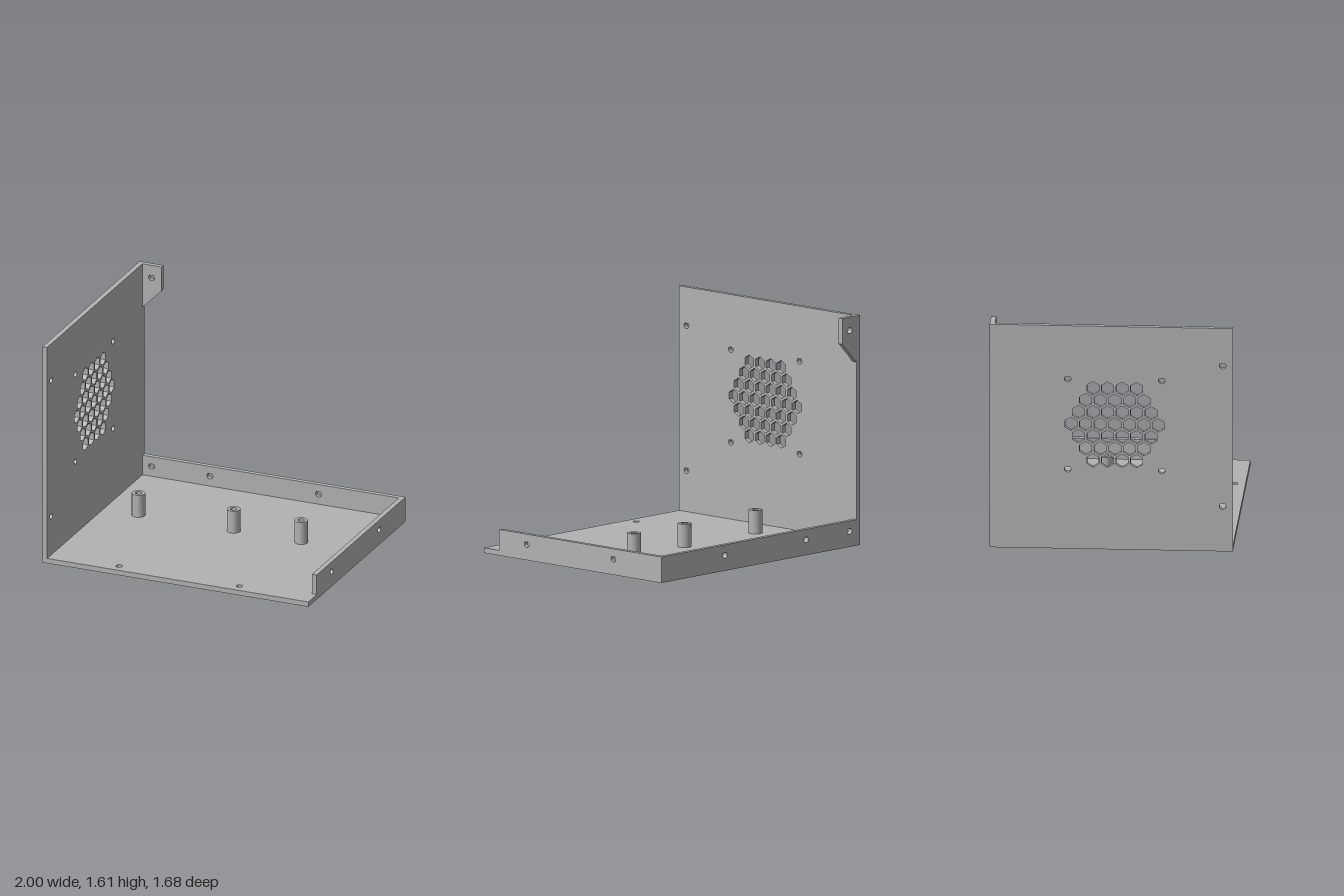
import * as THREE from 'three';
import { toCreasedNormals } from 'three/addons/utils/BufferGeometryUtils.js';

const T = 0.036;                       // sheet thickness
const X = 1, Z = 0.84, H = 1.61, LIP = 0.182, R = 0.0225;

const grey = new THREE.MeshStandardMaterial({ color: 0xb2b2b2 });
grey.name = 'plain grey';

const outline = (pts) => new THREE.Shape(pts.map(([a, b]) => new THREE.Vector2(a, b)));
const rect = (a0, b0, a1, b1) => outline([[a0, b0], [a1, b0], [a1, b1], [a0, b1]]);

function roundHole(a, b) {
  const p = new THREE.Path();
  p.absarc(a, b, R, 0, Math.PI * 2, true);
  return p;
}

// Round hole with a 45 degree peak on top
function teardropHole(a, b) {
  const p = new THREE.Path();
  p.moveTo(a, b + R * Math.SQRT2);
  p.absarc(a, b, R, Math.PI / 4, Math.PI * 3 / 4, true);
  p.closePath();
  return p;
}

function hexHole(a, b, r) {
  const pts = [];
  for (let i = 0; i < 6; i++) {
    const t = Math.PI / 6 + i * Math.PI / 3;
    pts.push(new THREE.Vector2(a + r * Math.cos(t), b + r * Math.sin(t)));
  }
  return new THREE.Path(pts);
}

function plate(name, shape, holes) {
  shape.holes.push(...holes);
  const g = new THREE.ExtrudeGeometry(shape, { depth: T, bevelEnabled: false, curveSegments: 16 });
  const mesh = new THREE.Mesh(toCreasedNormals(g, 0.6), grey);
  mesh.name = name;
  return mesh;
}

export function createModel() {
  const model = new THREE.Group();
  model.name = 'ventedCasePanel';

  // Floor, drawn as (x, -z) and extruded upwards
  const floor = plate('floor', rect(-X, -Z, X, Z), [-0.455, 0.45].map((x) => roundHole(x, -0.765)));
  floor.rotation.x = -Math.PI / 2;
  model.add(floor);

  // Tall side wall, drawn as (-z, y), with screw holes and honeycomb vent
  const wallHoles = [[0.77, 1.34], [0.77, 0.325], [0.35, 1.225], [-0.3, 1.225], [0.35, 0.575], [-0.3, 0.575]]
    .map(([z, y]) => teardropHole(-z, y));
  for (let row = -3; row <= 3; row++) {
    const count = 7 - Math.abs(row);
    for (let i = 0; i < count; i++) {
      wallHoles.push(hexHole(-0.025 + (i - (count - 1) / 2) * 0.1005, 0.9 + row * 0.0868, 0.048));
    }
  }
  const wall = plate('ventWall', rect(-Z, T, Z, H), wallHoles);
  wall.rotation.y = Math.PI / 2;
  wall.position.x = -X;
  model.add(wall);

  // Low lip along the back
  const backLip = plate('backLip', rect(-X + T, T, X, LIP),
    [-0.895, -0.457, 0.36].map((x) => teardropHole(x, 0.111)));
  backLip.position.z = -Z;
  model.add(backLip);

  // Low lip along the other side, stopping short of the front
  const sideLip = plate('sideLip', rect(-0.695, T, Z - T, LIP),
    [0.435, -0.385].map((z) => teardropHole(-z, 0.111)));
  sideLip.rotation.y = Math.PI / 2;
  sideLip.position.x = X - T;
  model.add(sideLip);

  // Corner tab at the top of the wall
  const tab = plate('cornerTab',
    outline([[-X + T, 1.285], [-0.82, 1.43], [-0.82, H], [-X + T, H]]),
    [teardropHole(-0.895, 1.518)]);
  tab.position.z = -Z;
  model.add(tab);

  // Hollow standoffs
  const profile = [[R, T], [R, 0.2], [0.047, 0.2], [0.047, T]]
    .reverse().map(([r, y]) => new THREE.Vector2(r, y));
  const postGeometry = toCreasedNormals(new THREE.LatheGeometry(profile, 32), 0.6);
  for (const x of [-0.7, 0.015, 0.523]) {
    const post = new THREE.Mesh(postGeometry, grey);
    post.name = 'standoff';
    post.position.set(x, 0, -0.132);
    model.add(post);
  }
  return model;
}
